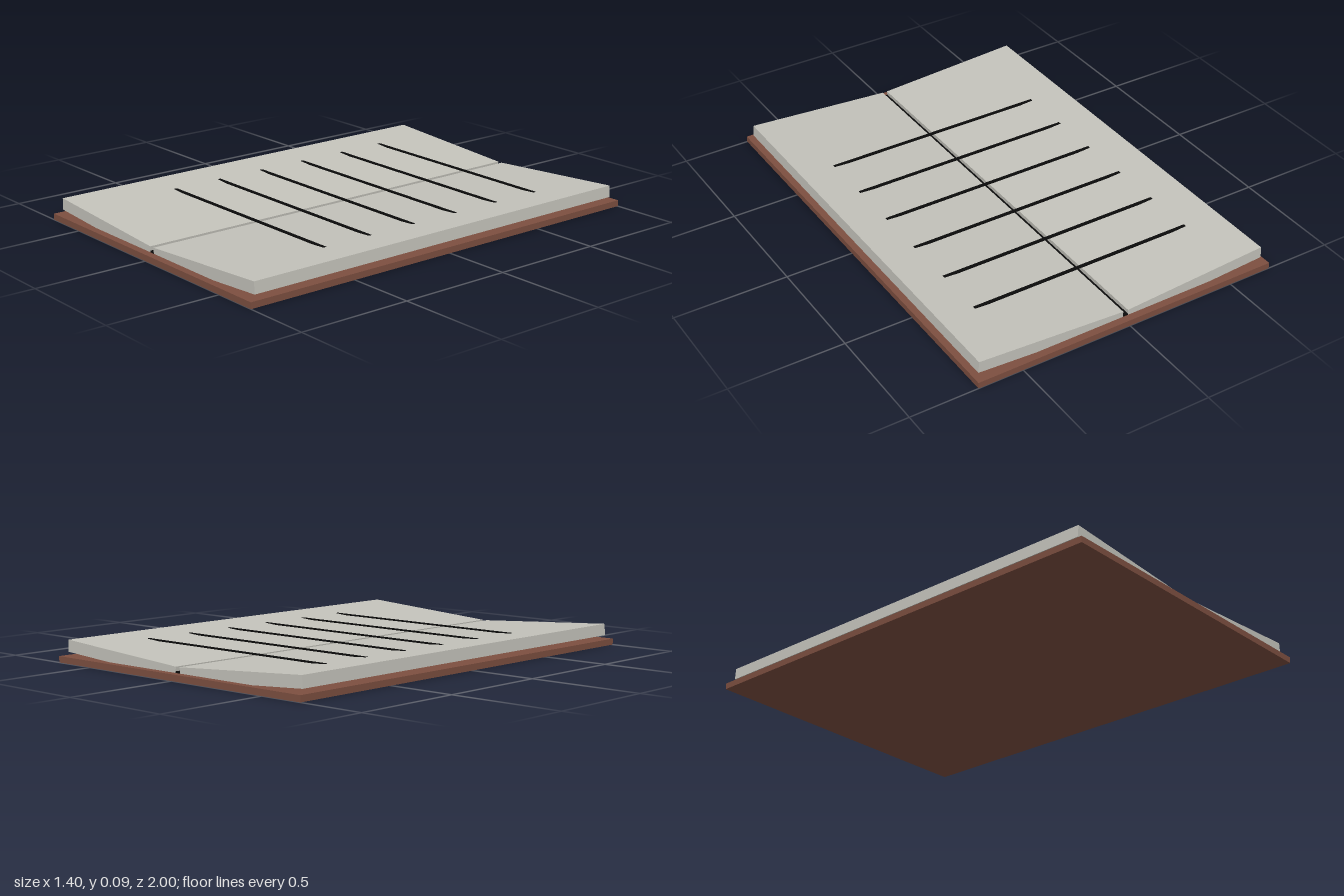
import * as THREE from 'three';

function material(name, color) {
  const m = new THREE.MeshStandardMaterial({ color });
  m.name = name;
  return m;
}

export function createModel() {
  const book = new THREE.Group();
  book.name = 'openBook';

  const leather = material('brown leather', 0x7d4f40);
  const paper = material('grey paper', 0xc4c3bb);
  const ink = material('black ink', 0x0a0a0a);

  const addBox = (name, size, position, mat) => {
    const mesh = new THREE.Mesh(new THREE.BoxGeometry(...size), mat);
    mesh.name = name;
    mesh.position.set(...position);
    book.add(mesh);
    return mesh;
  };

  // Flat cover lying on the ground
  addBox('cover', [1.4, 0.027, 2], [0, 0.0135, 0], leather);

  // Two page blocks, tilted up towards their outer edges
  for (const side of [-1, 1]) {
    const name = side > 0 ? 'leftPages' : 'rightPages';
    const pages = addBox(name, [0.667, 0.051, 1.934], [side * 0.3455, 0.048, 0], paper);
    pages.rotation.z = side * 0.064;
  }

  // Dark binding strip in the gutter
  addBox('binding', [0.024, 0.012, 1.934], [0, 0.0275, 0], ink);

  // Ruled lines spanning both pages
  for (let i = 0; i < 6; i++) {
    addBox('ruledLine', [1.03, 0.0055, 0.014], [0, 0.0828, -0.668 + i * 0.2333], ink);
  }

  return book;
}
